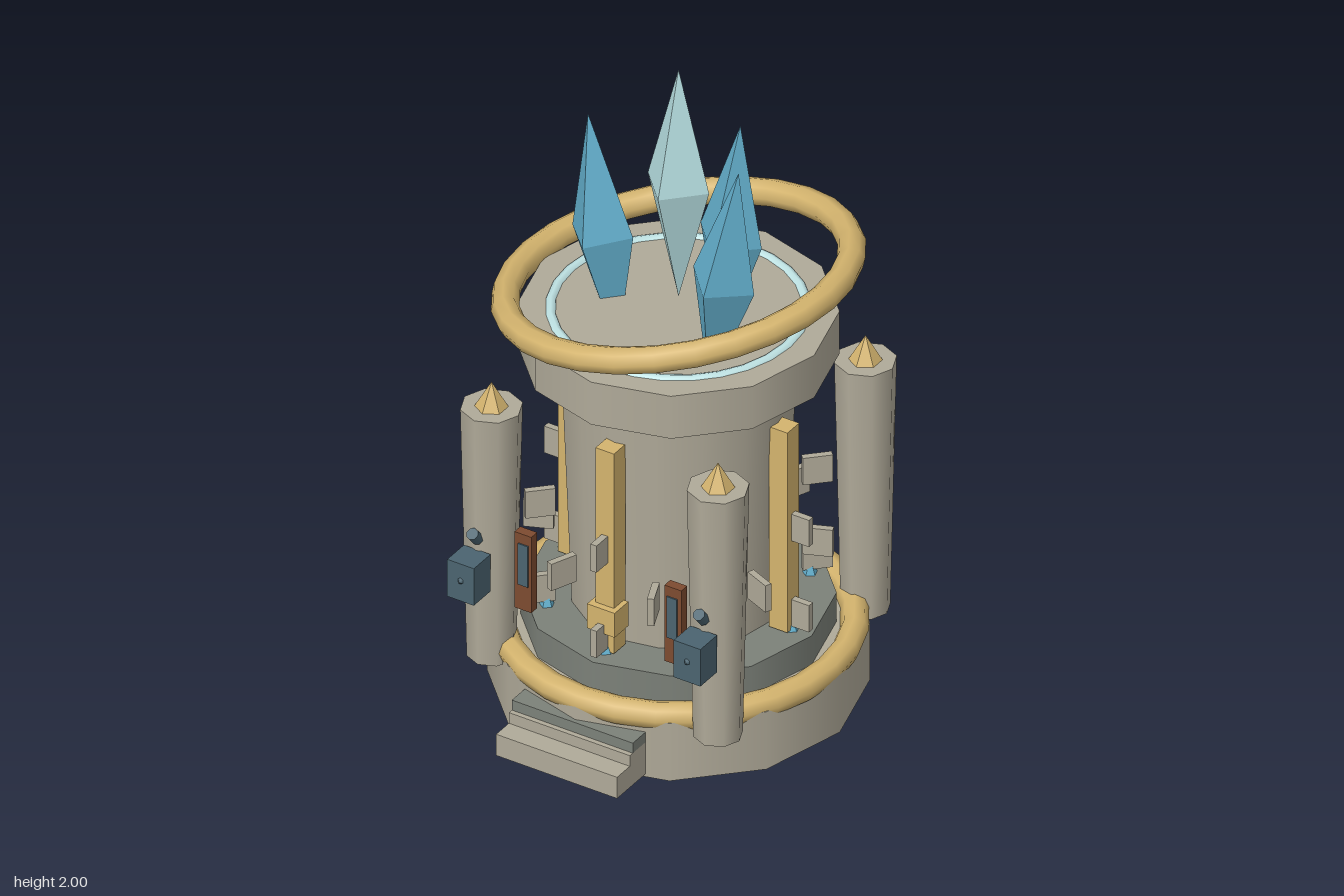
import * as THREE from 'three';

const mat = (color, flatShading = false) => new THREE.MeshStandardMaterial({ color, flatShading });
const M = {
  stone: mat(0xb0aa99),
  slate: mat(0x7c8179),
  gold: mat(0xd4b46e),
  goldFlat: mat(0xd4b46e, true),
  blue: mat(0x62adca, true),
  ice: mat(0xb4dcde, true),
  glow: mat(0xbfe3e4),
  wood: mat(0x7d4b30),
  iron: mat(0x4b6470),
};

export function createModel() {
  const root = new THREE.Group();
  const tower = new THREE.Group();
  tower.name = 'tower';
  tower.position.z = -0.045;
  root.add(tower);

  const add = (name, geo, material, x, y, z, parent = tower) => {
    const m = new THREE.Mesh(geo, material);
    m.name = name;
    m.position.set(x, y, z);
    parent.add(m);
    return m;
  };
  const box = (name, w, h, d, material, x, y, z, parent) =>
    add(name, new THREE.BoxGeometry(w, h, d), material, x, y, z, parent);
  // Upright drum from y0 to y1
  const drum = (name, rTop, rBottom, y0, y1, sides, material, x = 0, z = 0) =>
    add(name, new THREE.CylinderGeometry(rTop, rBottom, y1 - y0, sides), material, x, (y0 + y1) / 2, z);
  const ring = (name, r, tube, y, material, tilt = 0) => {
    const m = add(name, new THREE.TorusGeometry(r, tube, 8, 28).rotateX(Math.PI / 2), material, 0, y, 0);
    m.rotation.z = tilt;
    return m;
  };

  // Stacked masonry
  drum('base', 0.527, 0.527, 0, 0.19, 12, M.stone);
  drum('plinth', 0.435, 0.435, 0.18, 0.285, 12, M.slate);
  drum('towerBody', 0.33, 0.3, 0.28, 1.08, 16, M.stone);
  drum('crown', 0.443, 0.443, 1.075, 1.215, 12, M.stone);

  // Rings
  ring('baseRing', 0.487, 0.04, 0.19, M.gold);
  ring('glowRing', 0.353, 0.017, 1.207, M.glow);
  ring('floatingRing', 0.485, 0.04, 1.32, M.gold, 0.2);

  // Corner pillars with gold caps
  for (const sx of [-1, 1]) for (const sz of [-1, 1]) {
    drum('pillar', 0.088, 0.07, 0.15, 0.965, 8, M.stone, sx * 0.37, sz * 0.375);
    add('pillarCap', new THREE.ConeGeometry(0.047, 0.08, 6), M.goldFlat, sx * 0.37, 1.005, sz * 0.375);
  }

  // Gold strips on four sides
  for (let i = 0; i < 4; i++) {
    const a = i * Math.PI / 2;
    const s = box('goldStrip', 0.06, 0.66, 0.06, M.gold, Math.sin(a) * 0.345, 0.62, Math.cos(a) * 0.345);
    s.rotation.y = a;
  }
  box('frontPlaque', 0.09, 0.08, 0.07, M.gold, 0, 0.4, 0.36);

  // Radial stone fins in three staggered rows
  [[0.345, 0], [0.49, 0.5], [0.627, 0]].forEach(([y, shift]) => {
    for (let i = 0; i < 8; i++) {
      const a = (i + shift) * Math.PI / 4;
      const fin = box('stoneFin', 0.02, 0.088, 0.085, M.stone, Math.sin(a) * 0.39, y, Math.cos(a) * 0.39);
      fin.rotation.y = a;
    }
  });

  // Small crystals around the plinth
  for (let i = 0; i < 8; i++) {
    const a = i * Math.PI / 4;
    add('smallCrystal', new THREE.ConeGeometry(0.022, 0.055, 5), M.blue, Math.sin(a) * 0.37, 0.311, Math.cos(a) * 0.37);
  }

  // Wooden shutters and lanterns, mirrored
  for (const s of [-1, 1]) {
    box('shutter', 0.055, 0.25, 0.03, M.wood, s * 0.245, 0.48, 0.395);
    box('shutterPane', 0.033, 0.135, 0.012, M.iron, s * 0.243, 0.505, 0.408);

    const lantern = new THREE.Group();
    lantern.name = 'lantern';
    lantern.position.set(s * 0.37, 0.47, 0.49);
    tower.add(lantern);
    box('lanternBox', 0.087, 0.122, 0.085, M.iron, 0, 0, 0, lantern);
    add('lanternStud', new THREE.ConeGeometry(0.012, 0.016, 6).rotateX(Math.PI / 2), M.iron, 0, 0.005, 0.048, lantern);
    const hook = add('lanternHook', new THREE.CylinderGeometry(0.018, 0.018, 0.04, 8), M.iron, 0, 0.112, -0.03, lantern);
    hook.rotation.x = 0.7;
  }

  // Front steps
  [[0.01, 0.08, 0.575, M.stone], [0.08, 0.115, 0.51, M.stone], [0.115, 0.148, 0.495, M.slate]]
    .forEach(([y0, y1, front, material]) =>
      box('step', 0.395, y1 - y0, front - 0.38, material, 0, (y0 + y1) / 2, (front + 0.38) / 2, root));

  // Large crystals: x, y, z, half height, lean
  [
    ['centreCrystal', 0, 1.625, 0, 0.375, 0, M.ice],
    ['leaningCrystal', -0.228, 1.4, 0.03, 0.375, 0.13, M.blue],
    ['leaningCrystal', 0.212, 1.435, 0.1, 0.375, -0.13, M.blue],
    ['leaningCrystal', 0.02, 1.325, -0.237, 0.375, -0.08, M.blue],
  ].forEach(([name, x, y, z, half, lean, material]) => {
    const geo = new THREE.OctahedronGeometry(1).scale(0.1, half, 0.104);
    add(name, geo, material, x, y, z).rotation.z = lean;
  });

  return root;
}
